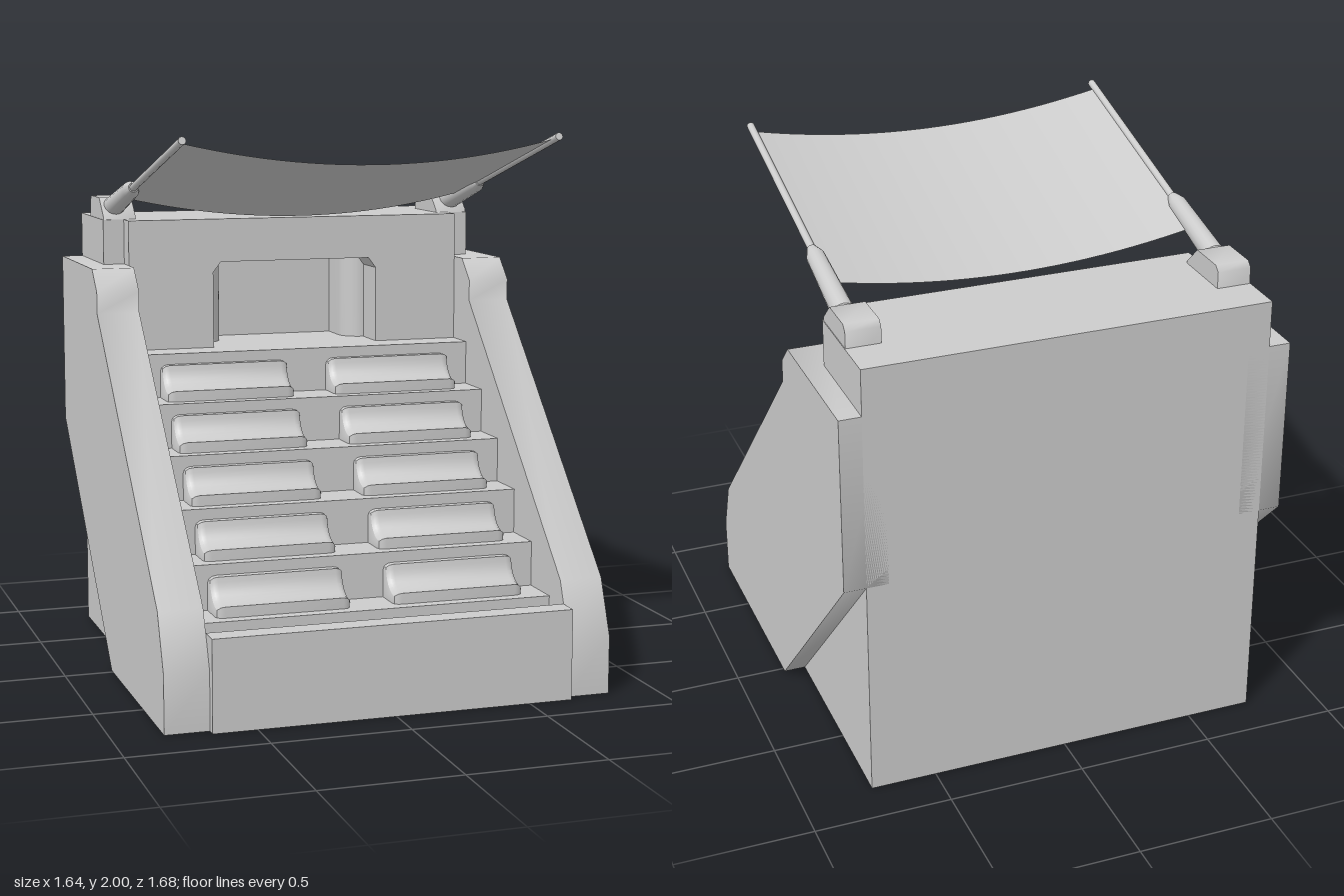
import * as THREE from 'three';
import { toCreasedNormals } from 'three/addons/utils/BufferGeometryUtils.js';

const grey = new THREE.MeshStandardMaterial({ color: 0xcccccc });
const thin = new THREE.MeshStandardMaterial({ color: 0xcccccc, side: THREE.DoubleSide });

const polygon = (pts) => new THREE.Shape(pts.map(([a, b]) => new THREE.Vector2(a, b)));

// Side profile given as (z, y), extruded along x around a centre
function alongX(shape, x, width, crease = 0.3, options = {}) {
  const geo = new THREE.ExtrudeGeometry(shape, { depth: width, bevelEnabled: false, ...options });
  geo.translate(0, 0, -width / 2).rotateY(-Math.PI / 2).translate(x, 0, 0);
  return toCreasedNormals(geo, crease);
}

// Plan given as (x, -z), extruded upwards
function upwards(shape, y0, y1) {
  const geo = new THREE.ExtrudeGeometry(shape, { depth: y1 - y0, bevelEnabled: false, curveSegments: 8 });
  geo.rotateX(-Math.PI / 2).translate(0, y0, 0);
  return toCreasedNormals(geo, 0.5);
}

export function createModel() {
  const model = new THREE.Group();
  const add = (name, geo, material = grey) => {
    const mesh = new THREE.Mesh(geo, material);
    mesh.name = name;
    model.add(mesh);
    return mesh;
  };

  const rise = 0.165, run = 0.17, firstZ = 0.635, firstY = 0.33;
  const landing = firstY + 5 * rise;

  // Stepped terrace with a front rail and a walkway behind it
  const steps = [[-0.84, 0], [0.845, 0], [0.845, firstY], [0.76, firstY], [0.76, 0.165], [firstZ, 0.165]];
  for (let i = 0; i < 6; i++) {
    const z = firstZ - i * run, y = firstY + i * rise;
    steps.push([z, y]);
    if (i < 5) steps.push([z - run, y]);
  }
  steps.push([-0.84, landing]);
  add('terrace', alongX(polygon(steps), 0, 1.32));

  // Wider rear base that shows below the cut corner of the side walls
  add('rearBase', alongX(polygon([
    [-0.84, 0], [0.1, 0], [-0.43, 0.55], [-0.43, landing], [-0.84, landing],
  ]), 0, 1.48));

  // Back wall with a doorway and rounded jambs
  const wall = new THREE.Shape();
  wall.moveTo(-0.74, 0.84);
  wall.lineTo(-0.74, 0.43);
  wall.lineTo(-0.66, 0.43);
  wall.lineTo(-0.66, 0.35);
  wall.lineTo(-0.33, 0.35);
  wall.lineTo(-0.33, 0.5);
  wall.absarc(-0.33, 0.58, 0.08, -Math.PI / 2, 0, false);
  wall.lineTo(-0.25, 0.7);
  wall.lineTo(0.25, 0.7);
  wall.lineTo(0.25, 0.58);
  wall.absarc(0.33, 0.58, 0.08, Math.PI, Math.PI * 1.5, false);
  wall.lineTo(0.33, 0.35);
  wall.lineTo(0.66, 0.35);
  wall.lineTo(0.66, 0.43);
  wall.lineTo(0.74, 0.43);
  wall.lineTo(0.74, 0.84);
  add('backWall', upwards(wall, landing, 1.485));
  add('lintel', upwards(polygon([
    [-0.74, 0.84], [-0.74, 0.43], [-0.66, 0.43], [-0.66, 0.35],
    [0.66, 0.35], [0.66, 0.43], [0.74, 0.43], [0.74, 0.84],
  ]), 1.485, 1.65));

  // Seats: low front lip curving up into a backrest, two per row
  const seat = new THREE.Shape();
  seat.moveTo(-0.03, -0.03);
  seat.lineTo(0.125, -0.03);
  seat.lineTo(0.125, 0.04);
  seat.lineTo(0.11, 0.04);
  seat.quadraticCurveTo(0.04, 0.045, 0.03, 0.125);
  seat.lineTo(-0.03, 0.125);
  const seatGeo = alongX(seat, 0, 0.435, 0.5, {
    curveSegments: 8, bevelEnabled: true, bevelThickness: 0.03, bevelSize: 0.025, bevelOffset: -0.025, bevelSegments: 3,
  });
  for (let i = 0; i < 5; i++) {
    for (const side of [-1, 1]) {
      add('seat', seatGeo).position.set(side * 0.3275, firstY + i * rise, firstZ - (i + 1) * run);
    }
  }

  // Roof frame: tilted axis shared by the rods and the canopy
  const slope = 0.264;
  const axisY = (z) => 1.985 - (0.6 - z) * slope;
  const tilt = Math.PI / 2 - Math.atan(slope);
  const front = new THREE.Vector3(0, axisY(0.6), 0.6);

  const wallProfile = polygon([
    [0.81, 0], [0.81, 0.21], [0.73, 0.41], [-0.185, 1.32], [-0.185, 1.4],
    [-0.265, 1.48], [-0.84, 1.48], [-0.84, 0.83], [-0.02, 0],
  ]);
  const bracketProfile = polygon([
    [-0.435, 1.5], [-0.435, 1.66], [-0.51, 1.73], [-0.655, 1.73], [-0.675, 1.71], [-0.675, 1.5],
  ]);
  const sleeve = [[0, 0], [0.03, 0], [0.04, 0.015], [0.033, 0.33], [0.018, 0.375], [0, 0.375]]
    .map(([r, h]) => new THREE.Vector2(r, h));

  for (const side of [-1, 1]) {
    // Sloping side wall with a cut rear corner
    add('sideWall', alongX(wallProfile, side * 0.74, 0.16, 0.9));
    add('roofBracket', alongX(bracketProfile, side * 0.675, 0.125, 0.9));

    // Chamfered upper corner of the doorway
    add('doorCorner', alongX(polygon([[-0.5, 1.445], [-0.35, 1.445], [-0.35, 1.485], [-0.5, 1.485]]), 0, 0.03))
      .position.x = side * 0.315;
    const corner = model.children[model.children.length - 1].geometry;
    const p = corner.attributes.position;
    for (let i = 0; i < p.count; i++) {
      if (p.getY(i) < 1.46 && p.getX(i) * side < 0) p.setY(i, 1.4849);
    }
    corner.computeVertexNormals();

    // Thin rod running into a thicker tapered sleeve
    const length = 0.78 * Math.hypot(1, slope);
    const rod = add('roofRod', new THREE.CylinderGeometry(0.014, 0.014, length, 12));
    rod.position.set(side * 0.685, axisY(0.21), 0.21);
    rod.rotation.x = tilt;
    const socket = add('rodSleeve', toCreasedNormals(new THREE.LatheGeometry(sleeve, 16), 0.5));
    socket.position.set(side * 0.685, axisY(-0.51), -0.51);
    socket.rotation.x = tilt;
  }

  // Canopy sheet sagging between the rods, square to their tilt
  const canopyLength = 0.895 * Math.hypot(1, slope);
  const sheet = new THREE.PlaneGeometry(1.36, canopyLength, 24, 1);
  const v = sheet.attributes.position;
  for (let i = 0; i < v.count; i++) {
    const t = v.getX(i) / 0.68;
    v.setZ(i, -0.083 * (1 - t * t));
  }
  sheet.rotateX(-Math.PI / 2 - Math.atan(slope));
  sheet.rotateX(2 * Math.atan(slope) - 2 * Math.atan(slope));
  sheet.computeVertexNormals();
  add('canopy', sheet, thin).position.set(0, front.y - 0.4875 * slope, 0.1125);

  return model;
}
